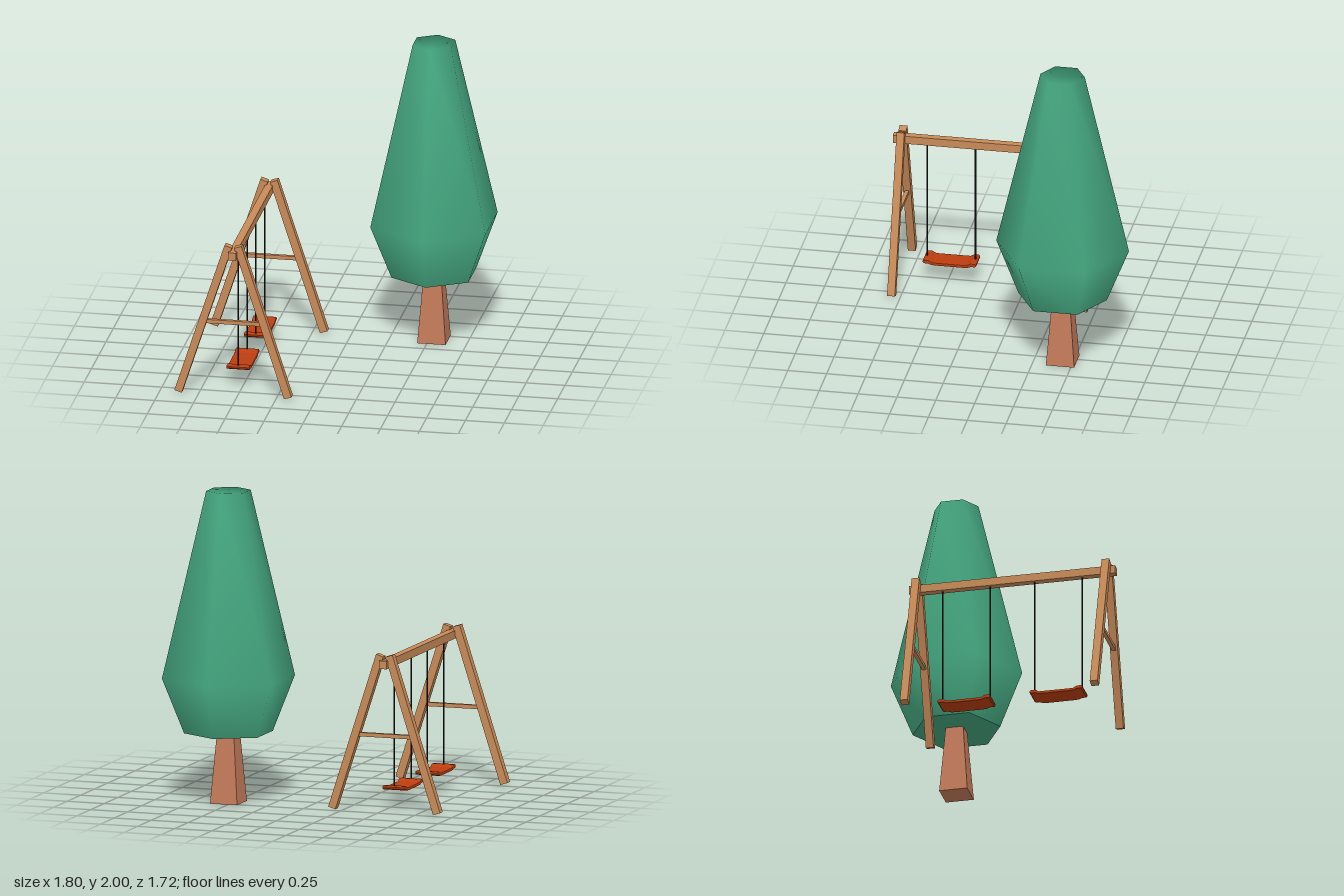
import * as THREE from 'three';

const wood = new THREE.MeshStandardMaterial({ color: 0xc88a58 });
wood.name = 'wood';
const bark = new THREE.MeshStandardMaterial({ color: 0xc47a5a });
bark.name = 'bark';
const leaf = new THREE.MeshStandardMaterial({ color: 0x44a67f });
leaf.name = 'leaf green';
const seatRed = new THREE.MeshStandardMaterial({ color: 0xbb3d10 });
seatRed.name = 'seat red';
const ropeBlack = new THREE.MeshStandardMaterial({ color: 0x1c1c1c });
ropeBlack.name = 'rope black';

function add(parent, name, geometry, material, x = 0, y = 0, z = 0) {
  const mesh = new THREE.Mesh(geometry, material);
  mesh.name = name;
  mesh.position.set(x, y, z);
  parent.add(mesh);
  return mesh;
}

// Six-sided crown with normals shared between the rings and the flat top
function crownGeometry(rings, sides = 6) {
  const positions = [], index = [];
  for (const [r, y] of rings) {
    for (let i = 0; i < sides; i++) {
      const a = (i / sides) * Math.PI * 2;
      positions.push(r * Math.sin(a), y, r * Math.cos(a));
    }
  }
  for (let k = 0; k < rings.length - 1; k++) {
    for (let i = 0; i < sides; i++) {
      const a = k * sides + i, b = k * sides + ((i + 1) % sides);
      index.push(a, b, a + sides, b, b + sides, a + sides);
    }
  }
  const top = (rings.length - 1) * sides;
  for (let i = 1; i < sides - 1; i++) index.push(top, top + i, top + i + 1);
  const g = new THREE.BufferGeometry();
  g.setAttribute('position', new THREE.Float32BufferAttribute(positions, 3));
  g.setIndex(index);
  g.computeVertexNormals();
  return g;
}

function createTree() {
  const tree = new THREE.Group();
  tree.name = 'tree';
  // Square tapered trunk
  let trunk = new THREE.CylinderGeometry(0.056 * Math.SQRT2, 0.091 * Math.SQRT2, 0.46, 4, 1);
  trunk.rotateY(Math.PI / 4);
  trunk = trunk.toNonIndexed();
  trunk.computeVertexNormals();
  add(tree, 'trunk', trunk, bark, 0, 0.23, 0);
  // Foliage and its flat underside
  add(tree, 'foliage', crownGeometry([[0.285, 0.45], [0.427, 0.805], [0.143, 2]]), leaf);
  const under = new THREE.CircleGeometry(0.285, 6, Math.PI / 2).rotateX(Math.PI / 2);
  add(tree, 'foliageUnderside', under, leaf, 0, 0.45, 0);
  return tree;
}

// Shallow dished seat, profile along its length with slightly rounded edges
function seatGeometry() {
  const half = [[0.085, 0.112], [0.115, 0.114], [0.137, 0.122], [0.162, 0.122], [0.166, 0.126]];
  const upper = [[0.166, 0.130], [0.160, 0.134], [0.137, 0.134], [0.112, 0.120], [0.085, 0.120]];
  const right = [...half, ...upper];
  const left = right.map(([u, v]) => [-u, v]).reverse();
  const shape = new THREE.Shape([...right, ...left].map(([u, v]) => new THREE.Vector2(u, v)));
  const g = new THREE.ExtrudeGeometry(shape, {
    depth: 0.138, bevelEnabled: true, bevelThickness: 0.006, bevelSize: 0.006, bevelSegments: 2,
  });
  g.translate(0, 0, -0.069);
  g.rotateY(-Math.PI / 2);
  return g;
}

function createSwingSet() {
  const set = new THREE.Group();
  set.name = 'swingSet';
  add(set, 'topBeam', new THREE.BoxGeometry(0.05, 0.052, 1.34), wood, 0, 0.948, 0.19);

  // A-frames at both ends
  const run = 0.322, rise = 0.995;
  const legGeometry = new THREE.BoxGeometry(0.05, Math.hypot(run, rise), 0.05);
  const braceGeometry = new THREE.BoxGeometry(0.36, 0.025, 0.025);
  for (const z of [0.805, -0.43]) {
    const frame = new THREE.Group();
    frame.name = z > 0 ? 'frontFrame' : 'backFrame';
    frame.position.z = z;
    for (const s of [-1, 1]) {
      const leg = add(frame, s < 0 ? 'rightLeg' : 'leftLeg', legGeometry, wood, s * 0.192, 0.506, 0);
      leg.rotation.z = s * Math.atan2(run, rise);
    }
    add(frame, 'crossBrace', braceGeometry, wood, 0, 0.488, 0);
    set.add(frame);
  }

  // Two swings, each hung on a pair of ropes
  const seat = seatGeometry();
  const rope = new THREE.CylinderGeometry(0.005, 0.005, 0.8, 8);
  for (const z of [0.487, -0.112]) {
    const swing = new THREE.Group();
    swing.name = z > 0 ? 'frontSwing' : 'backSwing';
    swing.position.z = z;
    add(swing, 'seat', seat, seatRed);
    for (const s of [-1, 1]) add(swing, 'rope', rope, ropeBlack, 0, 0.53, s * 0.155);
    set.add(swing);
  }
  return set;
}

export function createModel() {
  const model = new THREE.Group();
  model.name = 'swingSetAndTree';
  const tree = createTree();
  tree.position.set(0.53, 0, -0.43);
  const swings = createSwingSet();
  swings.position.x = -0.528;
  model.add(tree, swings);
  return model;
}
